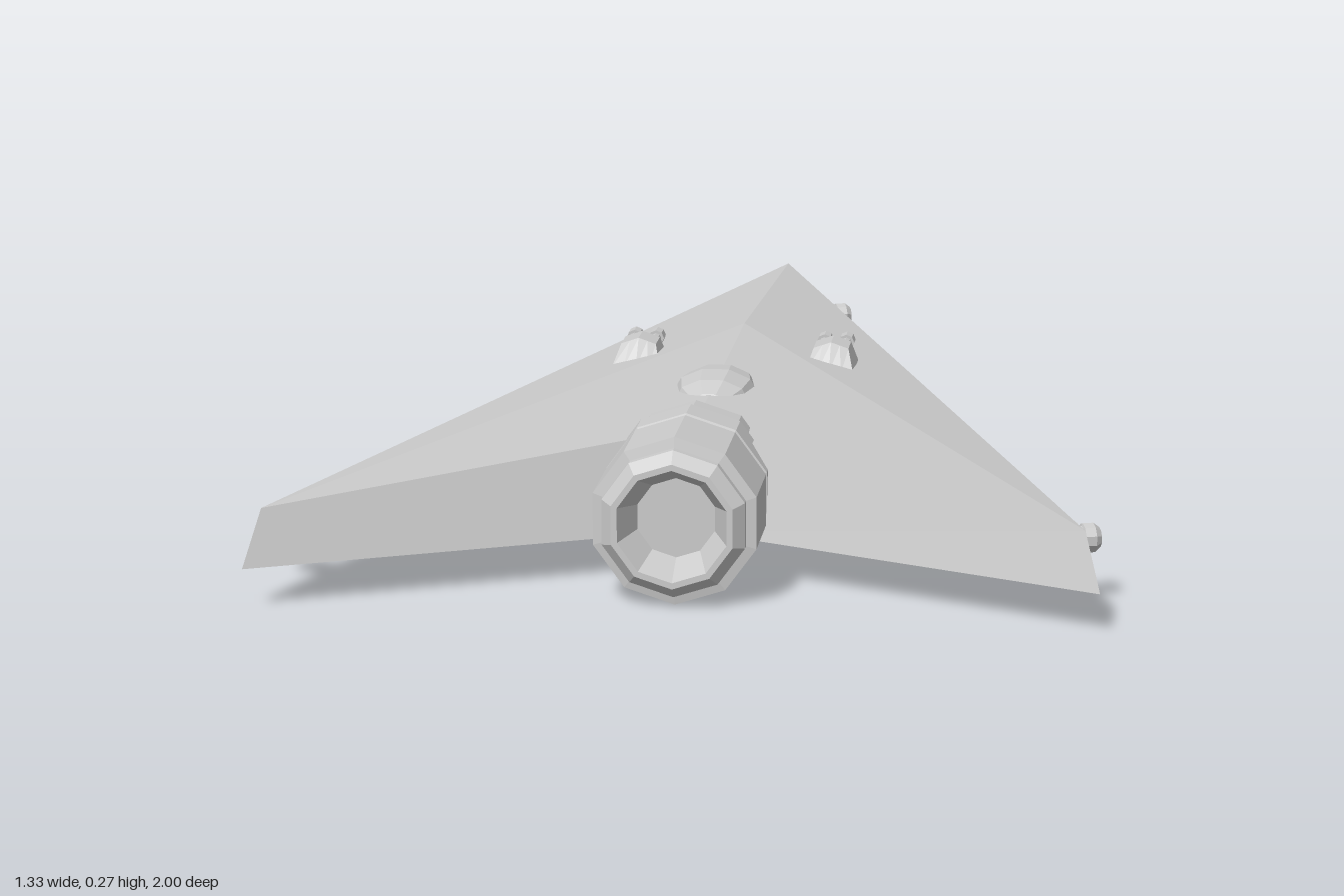
import * as THREE from 'three';

const grey = new THREE.MeshStandardMaterial({ color: 0xcccccc, flatShading: true });

function part(name, geometry, x = 0, y = 0, z = 0) {
  const mesh = new THREE.Mesh(geometry, grey);
  mesh.name = name;
  mesh.position.set(x, y, z);
  return mesh;
}

// Turned shape along +z from [radius, z] pairs
function turned(profile, sides) {
  const points = profile.map(([r, z]) => new THREE.Vector2(r, z));
  return new THREE.LatheGeometry(points, sides).rotateX(Math.PI / 2);
}

// Arrowhead hull: one half listed, the other mirrored
function hullGeometry() {
  const noseLow = [0, 0.07, -1], noseTop = [0, 0.172, -0.94];
  const tipLow = [0.665, 0.07, 1], tipTop = [0.64, 0.16, 0.965];
  const notchLow = [0, 0.07, 0.695], notchTop = [0, 0.23, 0.655];
  const peak = [0, 0.23, -0.13];
  const half = [
    [noseTop, peak, tipTop], [peak, notchTop, tipTop],
    [noseLow, noseTop, tipTop], [noseLow, tipTop, tipLow],
    [notchLow, tipLow, tipTop], [notchLow, tipTop, notchTop],
    [noseLow, tipLow, notchLow],
  ];
  const positions = [];
  for (const [a, b, c] of half) {
    positions.push(...a, ...b, ...c);
    for (const p of [a, c, b]) positions.push(-p[0], p[1], p[2]);
  }
  const g = new THREE.BufferGeometry();
  g.setAttribute('position', new THREE.Float32BufferAttribute(positions, 3));
  g.computeVertexNormals();
  return g;
}

// Turret housing: a box pulled in at the top and sloped at the rear
function housingGeometry() {
  const g = new THREE.BoxGeometry(0.084, 0.045, 0.11, 4, 1, 1);
  const p = g.attributes.position;
  for (let i = 0; i < p.count; i++) {
    if (p.getY(i) < 0) continue;
    const x = p.getX(i), z = p.getZ(i);
    p.setX(i, x * 0.72);
    p.setY(i, 0.0225 - Math.abs(x) * 0.25);
    p.setZ(i, z > 0 ? 0.012 : -0.045);
  }
  g.computeVertexNormals();
  return g;
}

function createTurret(side) {
  const turret = new THREE.Group();
  turret.name = side > 0 ? 'leftTurret' : 'rightTurret';
  turret.add(part('turretHousing', housingGeometry(), 0, 0, 0.02));
  for (const s of [-1, 1]) {
    const barrel = new THREE.CylinderGeometry(0.009, 0.009, 0.075, 8).rotateX(Math.PI / 2);
    turret.add(part('turretBarrel', barrel, s * 0.019, 0.002, -0.045));
    const muzzle = new THREE.CylinderGeometry(0.014, 0.014, 0.028, 8).rotateX(Math.PI / 2);
    turret.add(part('turretMuzzle', muzzle, s * 0.019, 0.002, -0.074));
  }
  turret.position.set(side * 0.168, 0.213, 0);
  return turret;
}

// Stubby banded gun standing out from the hull edge
function createEdgeGun(side, x, z) {
  const profile = [[0, -0.02], [0.026, -0.02], [0.026, 0.024], [0.02, 0.026],
    [0.02, 0.031], [0.024, 0.033], [0.024, 0.05], [0.016, 0.06], [0, 0.062]];
  const gun = part('edgeGun', turned(profile, 10), side * x, 0.108, z);
  gun.rotation.y = Math.atan2(side * 0.95, -0.316);
  return gun;
}

export function createModel() {
  const model = new THREE.Group();
  model.name = 'arrowheadShip';
  model.add(part('hull', hullGeometry()));

  // Ten-sided engine with grooves and a recessed exhaust
  const engine = [
    [0, 0.515], [0.065, 0.525], [0.1, 0.565], [0.124, 0.605], [0.126, 0.664],
    [0.115, 0.666], [0.115, 0.678], [0.135, 0.68], [0.135, 0.742], [0.129, 0.744],
    [0.129, 0.754], [0.135, 0.756], [0.135, 0.9], [0.118, 0.903], [0.118, 0.918], [0.1, 0.938],
    [0.09, 0.938], [0.064, 0.88], [0, 0.88],
  ];
  model.add(part('engine', turned(engine, 10), 0, 0.14, 0));

  // Faceted canopy on the ridge
  const canopy = new THREE.SphereGeometry(1, 10, 6).rotateX(Math.PI / 2).scale(0.072, 0.043, 0.115);
  model.add(part('canopy', canopy, 0, 0.21, 0.325));

  for (const side of [-1, 1]) {
    model.add(createTurret(side));
    model.add(createEdgeGun(side, 0.6, 0.825));
    model.add(createEdgeGun(side, 0.077, -0.755));
  }
  return model;
}
